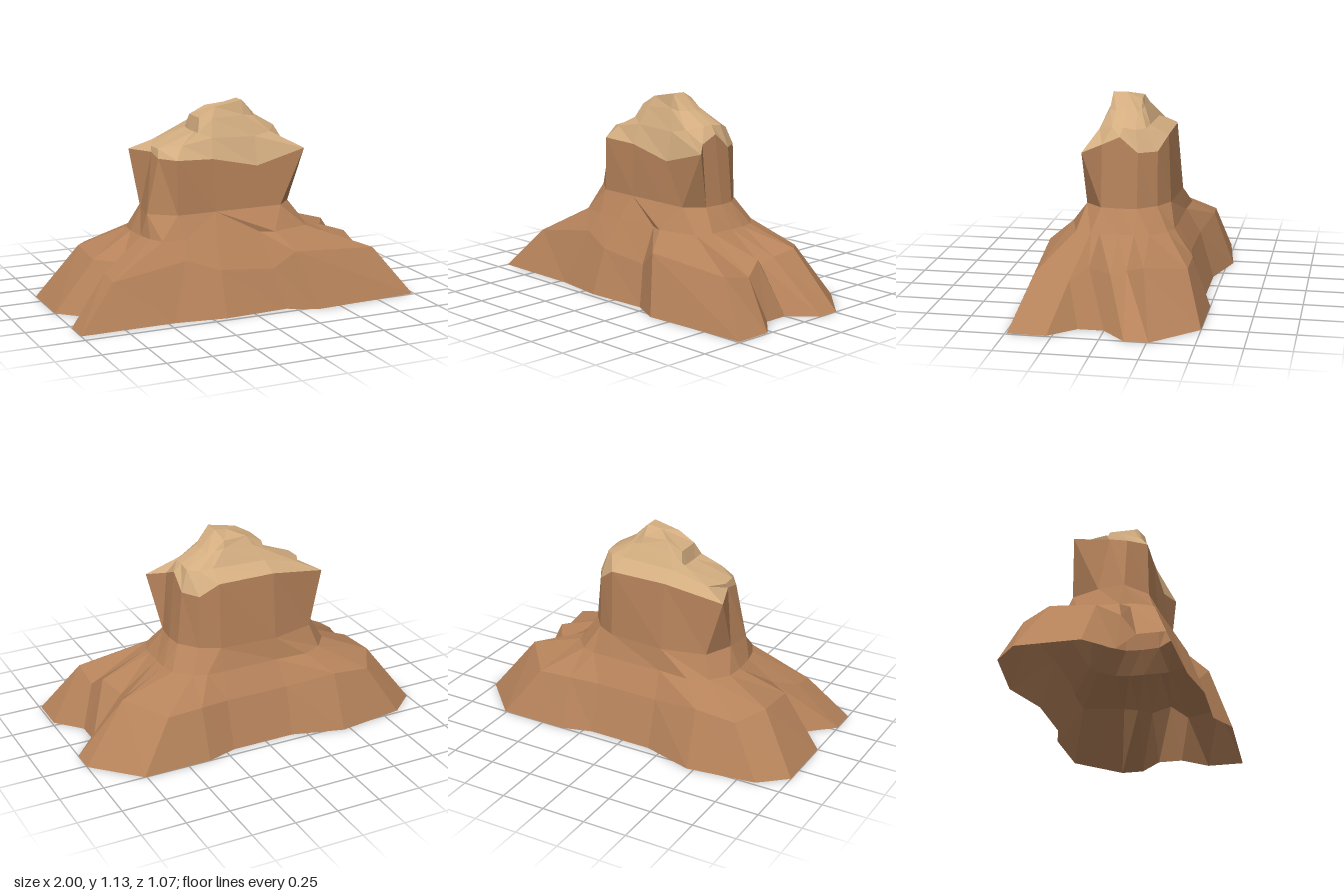
import * as THREE from 'three';

const brownRock = new THREE.MeshStandardMaterial({ color: 0xb5825a, side: THREE.DoubleSide });
brownRock.name = 'brownRock';
const paleSand = new THREE.MeshStandardMaterial({ color: 0xd3ad80, side: THREE.DoubleSide });
paleSand.name = 'paleSand';

// Cross-sections run front left -> front right -> back right -> back left; points are [x, y, z].
const ground = [
  [-1, .43], [-.46, .43], [-.17, .47], [.2, .45], [.37, .53], [.99, .49], [.99, .28],
  [.86, .14], [.86, 0], [1, -.13], [1, -.26], [.76, -.5], [.37, -.5], [.2, -.45],
  [-.17, -.45], [-.46, -.535], [-.85, -.48], [-1, -.35], [-1, 0], [-.85, .14], [-1, .28],
].map(([x, z]) => [x, 0, z]);

const shoulder = [
  [-.78, .24, .33], [-.36, .31, .33], [-.17, .25, .38], [.15, .22, .38], [.27, .315, .42],
  [.78, .275, .385], [.78, .24, .2], [.75, .31, .1], [.68, .25, 0], [.69, .28, -.09],
  [.75, .32, -.19], [.57, .27, -.4], [.37, .28, -.4], [.2, .27, -.37], [-.17, .27, -.37],
  [-.45, .31, -.42], [-.68, .28, -.4], [-.78, .31, -.23], [-.78, .29, .02], [-.65, .28, .12],
  [-.78, .26, .2],
];

const neck = [
  [-.46, .25], [-.33, .27], [-.15, .28], [.12, .27], [.2, .3], [.42, .24], [.46, .15],
  [.46, .1], [.46, 0], [.46, -.09], [.44, -.17], [.36, -.26], [.28, -.285], [.18, -.29],
  [-.15, -.29], [-.33, -.3], [-.44, -.25], [-.52, -.15], [-.53, -.05], [-.52, .08], [-.5, .17],
].map(([x, z]) => [x, .41, z]);

const columnFoot = [
  [-.35, .205], [-.12, .205], [.14, .205], [.28, .205], [.37, .11], [.38, 0], [.37, -.09],
  [.29, -.19], [.18, -.25], [-.15, -.27], [-.4, -.21], [-.47, -.05], [-.49, .1],
].map(([x, z]) => [x, .535, z]);

const columnRim = [
  [-.35, .84, .2], [-.13, .83, .19], [.14, .77, .19], [.425, .85, .205], [.34, .88, .11],
  [.34, .925, .01], [.34, .84, -.09], [.28, .84, -.19], [.18, .915, -.235], [-.15, .915, -.235],
  [-.485, .85, -.185], [-.42, .86, 0], [-.42, .84, .1],
];

const capLower = [
  [-.3, .91, .15], [-.12, .94, .15], [.14, .93, .15], [.24, .95, .14], [.3, .97, .06],
  [.3, .97, 0], [.3, .96, -.07], [.25, .96, -.12], [.17, .965, -.13], [-.15, .955, -.13],
  [-.36, .905, -.13], [-.415, .89, -.02], [-.41, .89, .07],
];

const capUpper = [
  [-.19, .97, .12], [-.1, 1.04, .107], [.09, 1.05, .107], [.15, 1.04, .1], [.18, 1.04, .06],
  [.18, 1.04, 0], [.17, 1.03, -.06], [.13, 1.04, -.075], [.08, 1.05, -.085], [-.1, 1.04, -.085],
  [-.18, .97, -.09], [-.185, .965, -.03], [-.185, .965, .05],
];

const crown = [
  [-.165, 1.045, .08], [-.07, 1.1, .08], [.09, 1.13, .09], [.09, 1.13, .01],
  [.07, 1.09, -.07], [-.07, 1.09, -.06], [-.165, 1.045, -.06],
];
const peak = [[.01, 1.115, .02]];

// Angles around the vertical axis, always increasing, with the first point repeated a turn later
function angles(ring) {
  const out = [];
  for (const [x, , z] of ring) {
    let a = Math.atan2(-2 * z, x);
    while (out.length && a < out[out.length - 1] - .5) a += Math.PI * 2;
    out.push(a);
  }
  out.push(out[0] + Math.PI * 2);
  return out;
}

// Joins two rings with triangles, whatever their point counts
function stitch(low, high) {
  const tris = [];
  const n = low.length, m = high.length;
  const at = (ring, i) => ring[i % ring.length];
  if (m === 1) {
    for (let i = 0; i < n; i++) tris.push(low[i], at(low, i + 1), high[0]);
  } else if (n === m) {
    for (let i = 0; i < n; i++) {
      const a = low[i], b = at(low, i + 1), c = at(high, i + 1), d = high[i];
      tris.push(a, b, d, b, c, d);
    }
  } else {
    const la = angles(low), ha = angles(high);
    let i = 0, j = 0;
    while (i < n || j < m) {
      if (j === m || (i < n && la[i + 1] <= ha[j + 1])) {
        tris.push(at(low, i), at(low, i + 1), at(high, j));
        i++;
      } else {
        tris.push(at(low, i), at(high, j + 1), at(high, j));
        j++;
      }
    }
  }
  return tris;
}

// Faceted skin over a stack of rings
function loft(name, material, rings) {
  const points = [];
  for (let i = 0; i < rings.length - 1; i++) points.push(...stitch(rings[i], rings[i + 1]));
  const geometry = new THREE.BufferGeometry();
  geometry.setAttribute('position', new THREE.Float32BufferAttribute(points.flat(), 3));
  geometry.computeVertexNormals();
  const mesh = new THREE.Mesh(geometry, material);
  mesh.name = name;
  return mesh;
}

export function createModel() {
  const group = new THREE.Group();
  group.name = 'rockMesa';
  group.add(
    loft('spreadingBase', brownRock, [ground, shoulder, neck, columnFoot]),
    loft('column', brownRock, [columnFoot, columnRim]),
    loft('sandyCap', paleSand, [columnRim, capLower, capUpper, crown, peak]),
  );
  return group;
}
